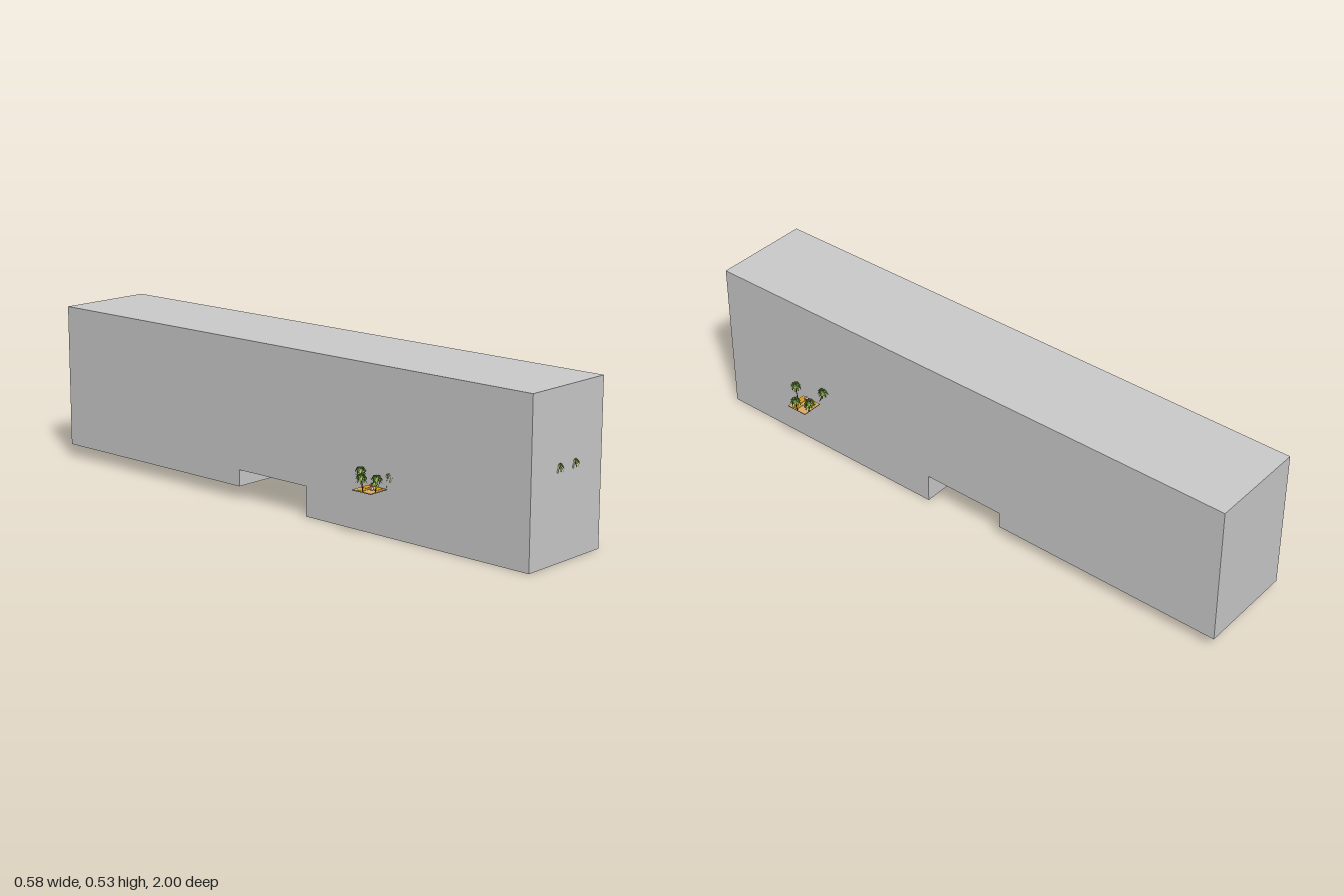
import * as THREE from 'three';
import { mergeGeometries } from 'three/addons/utils/BufferGeometryUtils.js';

const paint = (color, flat = true) =>
  new THREE.MeshStandardMaterial({ color, flatShading: flat, side: THREE.DoubleSide });

const grey = new THREE.MeshStandardMaterial({ color: 0xcccccc, flatShading: true });
const darkGreen = paint(0x41600f), lime = paint(0x78a61c), bark = paint(0x6b4a26);
const sand = paint(0xd9ae6c), earth = paint(0x80592a), gold = paint(0xdb9c14);
const ballColors = [paint(0xb01c28), paint(0xf2f2f2), paint(0x24367c), paint(0xf2f2f2)];

function add(parent, name, geometry, material, x = 0, y = 0, z = 0) {
  const mesh = new THREE.Mesh(geometry, material);
  mesh.name = name;
  mesh.position.set(x, y, z);
  parent.add(mesh);
  return mesh;
}

// One drooping leaf with a serrated outline and a raised midrib
function frond(angle, length, rise, droop) {
  const g = new THREE.PlaneGeometry(1, 1, 2, 8);
  const p = g.attributes.position;
  for (let i = 0; i < p.count; i++) {
    const t = p.getY(i) + 0.5, side = p.getX(i) * 2;
    const notch = Math.round(t * 8) % 2 ? 1 : 0.55;
    const half = 0.0055 * Math.sin(Math.PI * (0.1 + 0.88 * t)) * notch;
    const y = rise * Math.sin(Math.PI * Math.min(t * 1.2, 1)) - droop * t * t;
    p.setXYZ(i, side * half, y - Math.abs(side) * half * 0.6, length * t);
  }
  g.rotateY(angle);
  g.computeVertexNormals();
  return g;
}

function ring(count, offset, length, rise, droop) {
  const leaves = [];
  for (let i = 0; i < count; i++) {
    const k = 1 - 0.12 * (i % 2);
    leaves.push(frond(offset + (i * 2 * Math.PI) / count, length * k, rise, droop * k));
  }
  return mergeGeometries(leaves);
}

// Palm: curved trunk from its base to a crown of two leaf tiers
function palm(base, top, lowTier = false) {
  const g = new THREE.Group();
  g.name = 'palm';
  const mid = base.clone().lerp(top, 0.55).add(base.clone().sub(top).setY(0).multiplyScalar(-0.25));
  const curve = new THREE.QuadraticBezierCurve3(base, mid, top);
  add(g, 'trunk', new THREE.TubeGeometry(curve, 6, 0.0016, 6), bark);
  add(g, 'upperLeaves', ring(8, 0.2, 0.021, 0.009, 0.006), darkGreen, top.x, top.y + 0.002, top.z);
  add(g, 'lowerLeaves', ring(8, 0.6, 0.018, 0.006, 0.02), lime, top.x, top.y + 0.002, top.z);
  if (lowTier)
    add(g, 'hangingLeaves', ring(7, 0, 0.014, 0.004, 0.014), lime, top.x, top.y - 0.014, top.z + 0.008);
  return g;
}

// Beach ball made of coloured wedges
function beachBall(x, z) {
  const g = new THREE.Group();
  g.name = 'beachBall';
  for (let i = 0; i < 8; i++)
    add(g, 'ballPanel', new THREE.SphereGeometry(0.0065, 3, 10, (i * Math.PI) / 4, Math.PI / 4),
      ballColors[i % 4]);
  g.position.set(x, 0.0085, z);
  g.rotation.z = 0.5;
  return g;
}

// Sandy patch with towels, balls and four surrounding palms
function beach() {
  const g = new THREE.Group();
  g.name = 'beach';
  add(g, 'sand', new THREE.BoxGeometry(0.073, 0.0014, 0.075), sand, 0, 0.0012, 0);
  add(g, 'sandUnderside', new THREE.BoxGeometry(0.073, 0.0012, 0.075), earth, 0, -0.0001, 0);
  for (const [x, z] of [[-0.017, -0.016], [0.017, 0.012], [-0.015, 0.024]])
    add(g, 'towel', new THREE.BoxGeometry(0.03, 0.001, 0.022), gold, x, 0.0024, z);
  g.add(beachBall(-0.024, 0.012), beachBall(0.006, -0.014));
  const tops = [[0.024, -0.05], [0.046, -0.008], [-0.016, 0.05], [-0.056, -0.035]];
  tops.forEach(([x, z], i) => {
    const top = new THREE.Vector3(x, i === 3 ? 0.04 : 0.05, z);
    const base = new THREE.Vector3(x * 0.8, 0.004, z * 0.8);
    g.add(palm(base, top, i === 0));
  });
  return g;
}

export function createModel() {
  const model = new THREE.Group();
  model.name = 'model';

  // Long block with a stepped recess under the middle
  const outline = new THREE.Shape([
    [0.987, 0], [0.987, 0.528], [-1, 0.528], [-1, 0.043],
    [-0.178, 0.043], [-0.178, 0.098], [0.115, 0.098], [0.115, 0],
  ].map(([z, y]) => new THREE.Vector2(z, y)));
  const block = add(model, 'block',
    new THREE.ExtrudeGeometry(outline, { depth: 0.339, bevelEnabled: false }), grey, 0.162);
  block.rotation.y = -Math.PI / 2;

  // A beach on each side, turned half around on the other
  const left = beach();
  left.position.set(0.222, 0.19, 0.6);
  const right = beach();
  right.position.set(-0.223, 0.152, 0.42);
  right.rotation.y = Math.PI;
  model.add(left, right);

  // Palm crowns poking through the front wall
  for (const x of [-0.042, 0.033])
    model.add(palm(new THREE.Vector3(x, 0.25, 0.965), new THREE.Vector3(x, 0.292, 0.98)));

  return model;
}
